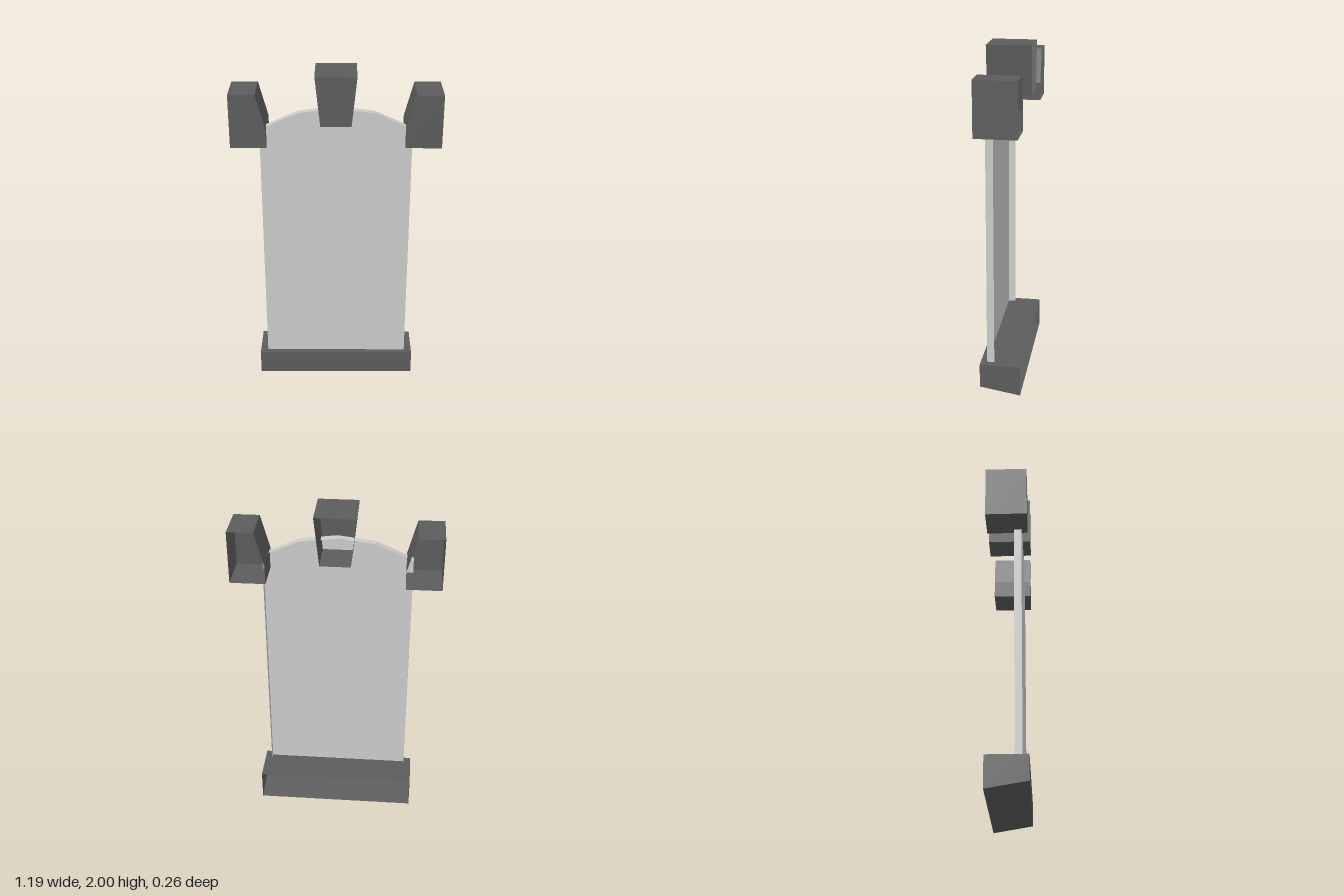
import * as THREE from 'three';

const darkMat = new THREE.MeshStandardMaterial({ color: 0x5c5c5c, flatShading: true, side: THREE.DoubleSide });
const panelMat = new THREE.MeshStandardMaterial({ color: 0xcccccc, flatShading: true, side: THREE.DoubleSide });

// Hollow extrusion of an outline: the rear cap is left out,
// and so is any wall lying flat at height openY
function openBackPrism(points, back, front, openY = null) {
  const shape = new THREE.Shape(points.map(([x, y]) => new THREE.Vector2(x, y)));
  const src = new THREE.ExtrudeGeometry(shape, { depth: front - back, bevelEnabled: false })
    .translate(0, 0, back)
    .getAttribute('position');
  const kept = [];
  for (let i = 0; i < src.count; i += 3) {
    const corners = [i, i + 1, i + 2];
    if (corners.every((k) => Math.abs(src.getZ(k) - back) < 1e-4)) continue;
    if (openY !== null && corners.every((k) => Math.abs(src.getY(k) - openY) < 1e-4)) continue;
    for (const k of corners) kept.push(src.getX(k), src.getY(k), src.getZ(k));
  }
  const geo = new THREE.BufferGeometry();
  geo.setAttribute('position', new THREE.Float32BufferAttribute(kept, 3));
  geo.computeVertexNormals();
  return geo;
}

const mirrorX = (points) => points.map(([x, y]) => [-x, y]).reverse();

export function createModel() {
  const group = new THREE.Group();
  const add = (name, geo, mat) => {
    const mesh = new THREE.Mesh(geo, mat);
    mesh.name = name;
    group.add(mesh);
  };

  // Thin front sheet with a faceted arched top and a narrow rim turned backwards
  const bottom = 0.175;
  const rightHalf = [[0.432, bottom], [0.432, 1.68], [0.215, 1.777], [0, 1.803]];
  const leftHalf = mirrorX(rightHalf.slice(0, 3));
  add('panel', openBackPrism([...rightHalf, ...leftHalf], 0.04, 0.083, bottom), panelMat);

  // Base trough: the underside slopes down towards the back
  const base = openBackPrism([[-0.477, 0.04], [0.477, 0.04], [0.477, 0.184], [-0.477, 0.184]], -0.12, 0.12);
  const pos = base.getAttribute('position');
  for (let i = 0; i < pos.count; i++) {
    if (pos.getZ(i) < 0 && pos.getY(i) < 0.1) pos.setY(i, 0);
  }
  base.computeVertexNormals();
  add('base', base, darkMat);

  // Corner blocks with a slanted inner side
  const corner = [[0.393, 1.583], [0.597, 1.583], [0.597, 1.894], [0.447, 1.894], [0.393, 1.692]];
  add('leftCornerBlock', openBackPrism(corner, -0.12, 0.12), darkMat);
  add('rightCornerBlock', openBackPrism(mirrorX(corner), -0.12, 0.12), darkMat);

  // Tapered keystone over the middle of the arch
  const keystone = [[-0.087, 1.713], [0.087, 1.713], [0.117, 2], [-0.117, 2]];
  add('keystone', openBackPrism(keystone, -0.13, 0.13), darkMat);

  return group;
}
